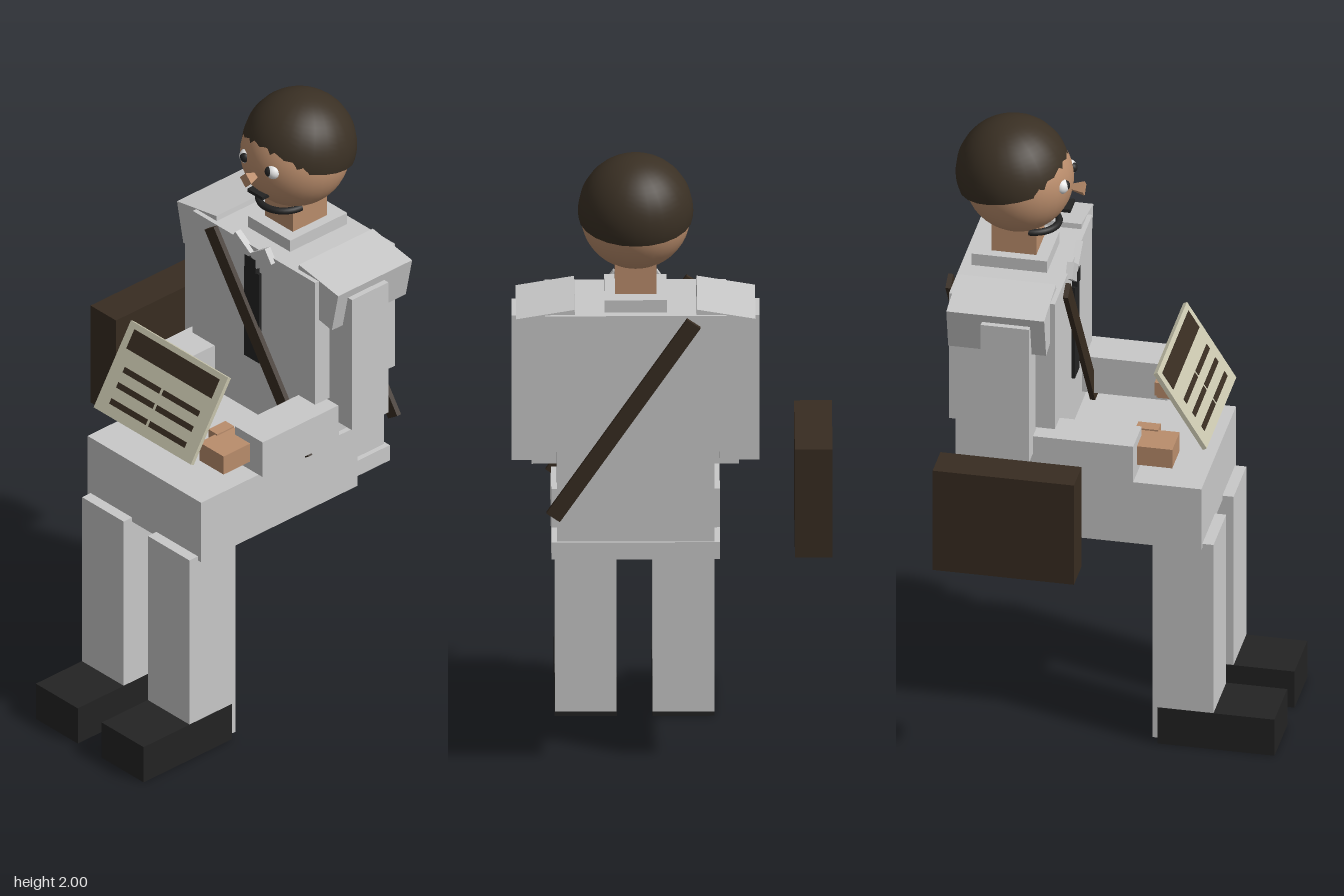
import * as THREE from 'three';

const CX = 0.11; // centre line of the figure

export function createModel() {
  const model = new THREE.Group();
  model.name = 'seatedFigure';

  const mat = (name, color) => {
    const m = new THREE.MeshStandardMaterial({ color });
    m.name = name;
    return m;
  };
  const cloth = mat('greyCloth', 0xc9c9c9);
  const skin = mat('skin', 0xba8d6c);
  const hair = mat('darkBrownHair', 0x3a3024);
  const leather = mat('brownLeather', 0x382c21);
  const black = mat('black', 0x232323);
  const paper = mat('creamPaper', 0xc9c6ae);
  const white = mat('eyeWhite', 0xeeeeee);

  const add = (name, geometry, material, parent = model) => {
    const mesh = new THREE.Mesh(geometry, material);
    mesh.name = name;
    parent.add(mesh);
    return mesh;
  };
  // Box given by its lower and upper limits on each axis
  const box = (name, material, [x0, x1], [y0, y1], [z0, z1], parent = model) => {
    const m = add(name, new THREE.BoxGeometry(x1 - x0, y1 - y0, z1 - z0), material, parent);
    m.position.set((x0 + x1) / 2, (y0 + y1) / 2, (z0 + z1) / 2);
    return m;
  };

  // Torso and lap
  box('chest', cloth, [-0.167, 0.387], [1.09, 1.53], [-0.487, -0.157]);
  box('waist', cloth, [-0.13, 0.35], [0.79, 1.1], [-0.475, -0.17]);
  box('hips', cloth, [-0.147, 0.367], [0.74, 0.795], [-0.483, -0.2]);
  box('lap', cloth, [-0.147, 0.367], [0.705, 0.92], [-0.35, 0.295]);
  box('collar', cloth, [0.015, 0.205], [1.52, 1.57], [-0.455, -0.22]);
  box('neck', skin, [0.047, 0.173], [1.56, 1.68], [-0.4, -0.26]);

  // Tie
  box('tieKnot', black, [0.085, 0.135], [1.45, 1.5], [-0.16, -0.14]);
  box('tie', black, [0.078, 0.145], [1.13, 1.45], [-0.16, -0.146]);

  // Paired parts, s = -1 for the figure's right and 1 for its left
  for (const s of [-1, 1]) {
    const side = s < 0 ? 'right' : 'left';
    const span = (a, b) => [CX + s * a, CX + s * b].sort((p, q) => p - q);

    box(side + 'LowerLeg', cloth, span(0.055, 0.243), [0.02, 0.72], [0.14, 0.33]);
    box(side + 'Shoe', black, span(0.054, 0.244), [0, 0.127], [0.155, 0.52]);
    box(side + 'UpperArm', cloth, span(0.255, 0.378), [1.02, 1.49], [-0.367, -0.217]);
    box(side + 'Forearm', cloth, span(0.19, 0.316), [0.955, 1.08], [-0.22, 0.095]);
    box(side + 'Hand', skin, span(0.15, 0.26), [0.985, 1.05], [0.07, 0.205]);
    box(side + 'Thumb', skin, span(0.12, 0.16), [1.01, 1.055], [0.07, 0.14]);

    // Shoulder cap folded over the top of the arm
    const profile = [[0.187, 1.547], [0.365, 1.517], [0.336, 1.38], [0.27, 1.393], [0.27, 1.49], [0.184, 1.52]];
    const shape = new THREE.Shape(profile.map(([x, y]) => new THREE.Vector2(CX + s * x, y)));
    const cap = add(side + 'ShoulderCap', new THREE.ExtrudeGeometry(shape, { depth: 0.305, bevelEnabled: false }), cloth);
    cap.position.z = -0.477;

    const flap = add(side + 'CollarFlap', new THREE.BoxGeometry(0.083, 0.052, 0.022), cloth);
    flap.position.set(CX + s * 0.047, 1.515, -0.152);
    flap.rotation.z = s * 0.6;

    // Eyes
    const eye = add(side + 'Eye', new THREE.SphereGeometry(0.024, 16, 12), white);
    eye.position.set(CX + s * 0.06, 1.82, -0.183);
    const pupil = add(side + 'Pupil', new THREE.SphereGeometry(0.017, 16, 12), black);
    pupil.position.set(CX + s * 0.056, 1.822, -0.173);
  }

  // Head, hair and face
  add('head', new THREE.SphereGeometry(0.168, 32, 24), skin).position.set(CX, 1.803, -0.327);
  const hairCap = add('hair', new THREE.SphereGeometry(0.176, 24, 16, 0, Math.PI * 2, 0, 1.71), hair);
  hairCap.material.side = THREE.DoubleSide;
  hairCap.position.set(CX, 1.824, -0.345);
  hairCap.rotation.x = -0.21;

  const nose = add('nose', new THREE.ConeGeometry(0.026, 0.075, 4).toNonIndexed(), skin);
  nose.geometry.computeVertexNormals();
  nose.position.set(CX, 1.785, -0.16);
  nose.rotation.x = -Math.PI / 2;
  box('mouth', black, [0.077, 0.145], [1.713, 1.724], [-0.2, -0.16]);
  const chinBand = add('chinBand', new THREE.TorusGeometry(0.077, 0.011, 8, 20, Math.PI), black);
  chinBand.position.set(CX, 1.656, -0.28);
  chinBand.rotation.x = Math.PI / 2;

  // Satchel and its strap across chest and back
  box('satchel', leather, [-0.49, -0.375], [0.74, 1.09], [-0.47, -0.03]);
  for (const [name, y, z] of [['frontStrap', 1.21, -0.141], ['backStrap', 1.2, -0.507]]) {
    const strap = add(name, new THREE.BoxGeometry(0.05, 0.76, 0.016), leather);
    strap.position.set(0.148, y, z);
    strap.rotation.z = 0.6;
  }

  // Tilted notice with a heading bar and two columns of lines
  const notice = new THREE.Group();
  notice.name = 'notice';
  notice.position.set(CX, 1.165, 0.221);
  notice.rotation.x = -0.555;
  model.add(notice);
  box('noticeBoard', paper, [-0.22, 0.22], [-0.146, 0.146], [-0.007, 0.007], notice);
  box('headingBar', leather, [-0.192, 0.193], [0.064, 0.128], [-0.009, 0.009], notice);
  for (const y of [0.003, -0.048, -0.102]) {
    for (const x of [-0.086, 0.09]) {
      box('line', leather, [x - 0.082, x + 0.082], [y - 0.009, y + 0.009], [-0.009, 0.009], notice);
    }
  }

  return model;
}
